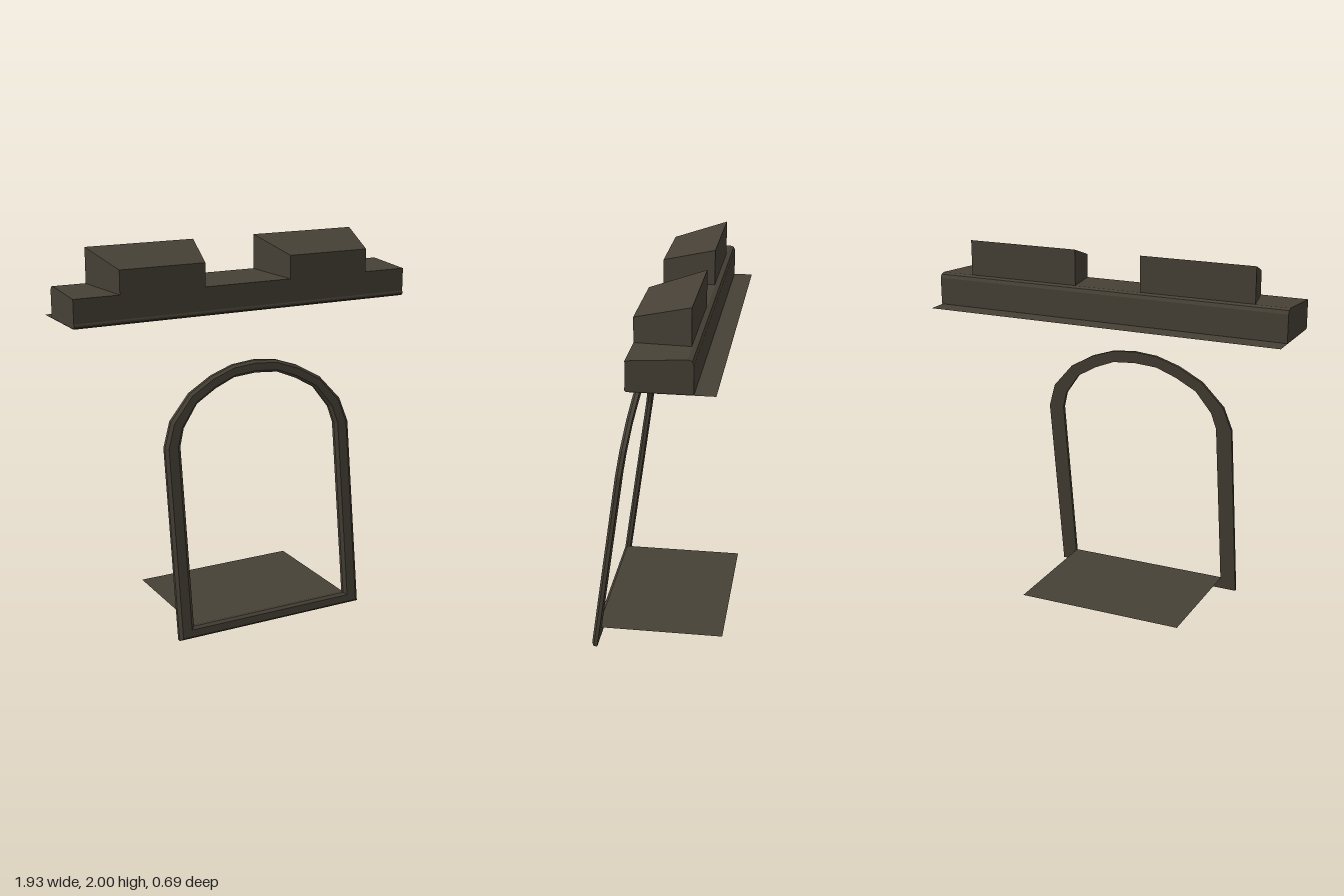
import * as THREE from 'three';

const stone = new THREE.MeshStandardMaterial({ color: 0x474136, side: THREE.DoubleSide });
stone.name = 'dark stone';

function add(group, name, geometry) {
  const mesh = new THREE.Mesh(geometry, stone);
  mesh.name = name;
  group.add(mesh);
  return mesh;
}

// Thin horizontal sheet between two z positions
function sheet(width, zBack, zFront, y) {
  const g = new THREE.PlaneGeometry(width, zFront - zBack);
  g.rotateX(-Math.PI / 2);
  g.translate(0, y, (zBack + zFront) / 2);
  return g;
}

// Parapet body: side profile (z, y) extruded along x
function parapet() {
  const profile = [
    [-0.245, 1.648], [0.066, 1.648], [0.073, 1.655], [0.073, 1.665], [0.07, 1.672],
    [0.07, 1.796], [-0.215, 1.815], [-0.237, 1.808], [-0.245, 1.79],
  ].map(([z, y]) => new THREE.Vector2(z, y));
  const g = new THREE.ExtrudeGeometry(new THREE.Shape(profile), { depth: 1.93, bevelEnabled: false });
  g.rotateY(-Math.PI / 2);
  g.translate(0.965, 0, 0);
  return g;
}

// Merlon: box that widens towards the back, with a top sloping down to the front
function merlon(centreX) {
  const g = new THREE.BoxGeometry(1, 1, 1).toNonIndexed();
  const p = g.attributes.position;
  for (let i = 0; i < p.count; i++) {
    const front = p.getZ(i) > 0;
    const top = p.getY(i) > 0;
    const halfWidth = front ? 0.235 : 0.304;
    p.setXYZ(
      i,
      centreX + Math.sign(p.getX(i)) * halfWidth,
      top ? (front ? 1.92 : 2) : 1.75,
      front ? 0.07 : -0.212,
    );
  }
  g.computeVertexNormals();
  return g;
}

// Arched surround: a section with bevelled front edges swept round the opening
function archFrame() {
  // Outer x, y and inner x, y, from the foot up to the crown
  const half = [
    [0.547, 0, 0.46, 0.062], [0.547, 1.01, 0.46, 1.01], [0.503, 1.14, 0.434, 1.10],
    [0.386, 1.27, 0.35, 1.215], [0.254, 1.345, 0.238, 1.28], [0.127, 1.388, 0.127, 1.325],
  ];
  const mirrored = half.map(([ox, oy, ix, iy]) => [-ox, oy, -ix, iy]).reverse();
  const outline = [...half, [0, 1.4, 0, 1.335], ...mirrored];
  // Position across the frame (0 outer, 1 inner) and depth
  const section = [[0, -0.015], [0, 0.004], [0.2, 0.017], [0.8, 0.017], [1, 0.004], [1, -0.015]];
  const point = (i, j) => {
    const [ox, oy, ix, iy] = outline[i % outline.length];
    const [t, depth] = section[j % section.length];
    const y = oy + (iy - oy) * t;
    return [ox + (ix - ox) * t, y, 0.332 - 0.142 * y + depth];
  };
  const positions = [];
  for (let i = 0; i < outline.length; i++) {
    for (let j = 0; j < section.length; j++) {
      const a = point(i, j), b = point(i + 1, j), c = point(i + 1, j + 1), d = point(i, j + 1);
      positions.push(...a, ...b, ...c, ...a, ...c, ...d);
    }
  }
  const g = new THREE.BufferGeometry();
  g.setAttribute('position', new THREE.Float32BufferAttribute(positions, 3));
  g.computeVertexNormals();
  return g;
}

export function createModel() {
  const model = new THREE.Group();
  model.name = 'gateway';

  // Battlement on its ledge
  const battlement = new THREE.Group();
  battlement.name = 'battlement';
  add(battlement, 'parapet', parapet());
  add(battlement, 'ledge', sheet(1.93, -0.346, 0.066, 1.646));
  add(battlement, 'leftMerlon', merlon(0.484));
  add(battlement, 'rightMerlon', merlon(-0.484));
  model.add(battlement);

  // Leaning arch with the floor behind it
  const doorway = new THREE.Group();
  doorway.name = 'doorway';
  add(doorway, 'archFrame', archFrame());
  add(doorway, 'floor', sheet(0.92, -0.346, 0.32, 0.066));
  model.add(doorway);

  return model;
}
